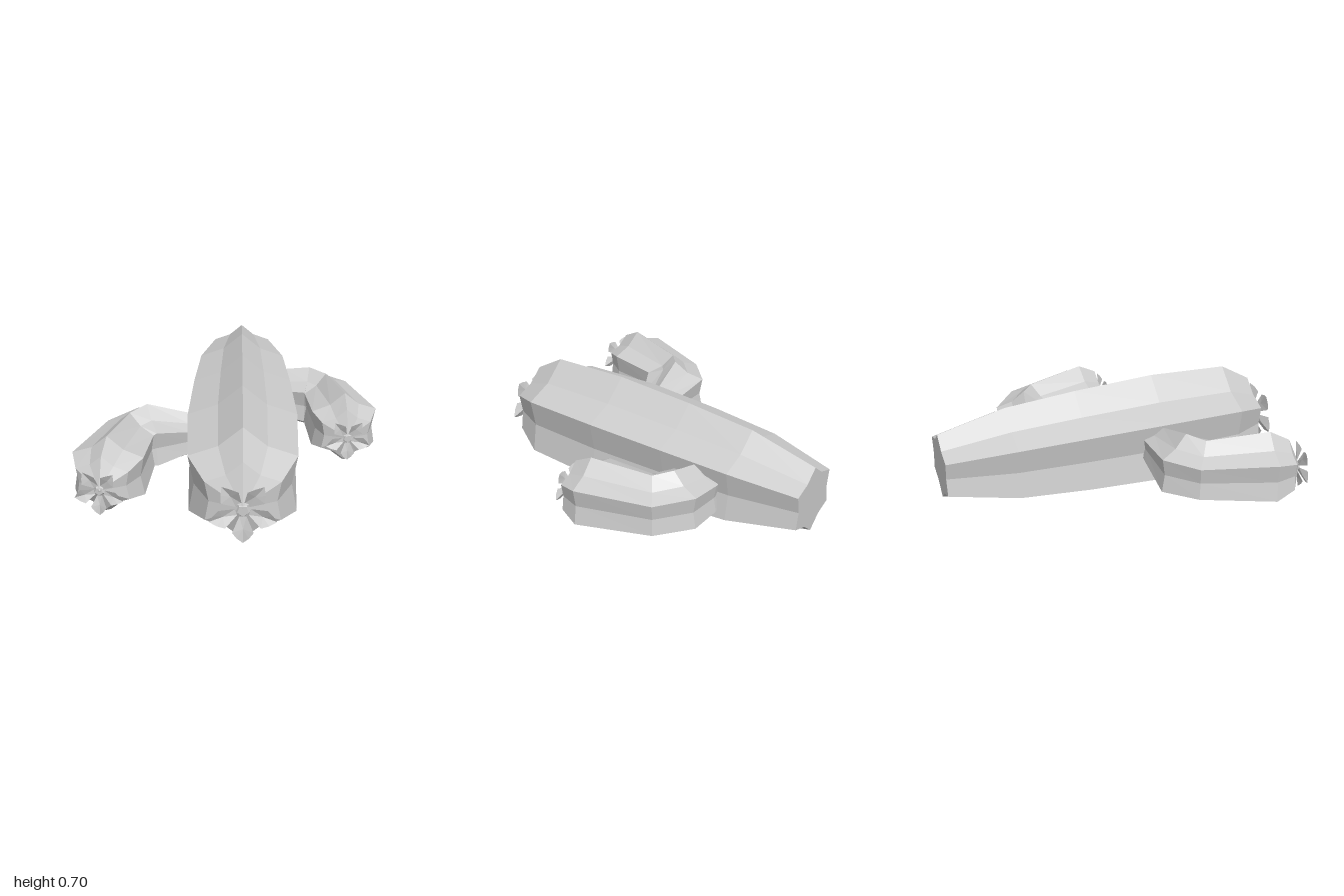
import * as THREE from 'three';

const material = new THREE.MeshStandardMaterial({ color: 0xcccccc, flatShading: true });
const petalMaterial = new THREE.MeshStandardMaterial({ color: 0xcccccc, flatShading: true, side: THREE.DoubleSide });

function facetedGeometry(points, index) {
  const indexed = new THREE.BufferGeometry();
  indexed.setAttribute('position', new THREE.Float32BufferAttribute(points, 3));
  indexed.setIndex(index);
  const geometry = indexed.toNonIndexed();
  geometry.computeVertexNormals();
  return geometry;
}

// Six-ribbed stem through sections [x, z, radius, heading in degrees from +z towards +x]
function ribbedStem(name, y, sections, tip) {
  const sides = 12, valley = 0.775;
  const points = [], index = [];
  for (const [x, z, radius, heading] of sections) {
    const h = THREE.MathUtils.degToRad(heading);
    for (let j = 0; j < sides; j++) {
      const a = (j / sides) * Math.PI * 2;
      const r = radius * (j % 2 ? 1 : valley);
      const across = Math.cos(a) * r;
      points.push(x + Math.cos(h) * across, y + Math.sin(a) * r, z - Math.sin(h) * across);
    }
  }
  const last = (sections.length - 1) * sides;
  const tipIndex = points.length / 3, baseIndex = tipIndex + 1;
  points.push(tip[0], y, tip[1], sections[0][0], y, sections[0][1]);
  for (let j = 0; j < sides; j++) {
    const k = (j + 1) % sides;
    for (let row = 0; row < last; row += sides) {
      const a = row + j, b = row + k, c = b + sides, d = a + sides;
      index.push(a, b, c, a, c, d);
    }
    index.push(last + j, last + k, tipIndex, k, j, baseIndex);
  }
  const mesh = new THREE.Mesh(facetedGeometry(points, index), material);
  mesh.name = name;
  return mesh;
}

// One folded, pointed petal lying along +y and facing +z
function petalGeometry() {
  const points = [
    -0.1, 0.2, 0.0, 0.1, 0.2, 0.0, // base
    -0.3, 0.62, 0.2, 0, 0.58, 0.06, 0.3, 0.62, 0.2, // broad middle with a crease
    -0.17, 0.82, 0.18, 0.17, 0.82, 0.18, 0, 1, 0.12, // pointed end
  ];
  return facetedGeometry(points, [0, 1, 3, 0, 3, 2, 1, 4, 3, 2, 3, 5, 3, 4, 6, 3, 7, 5, 3, 6, 7]);
}

function flower(name, position, radius, heading) {
  const group = new THREE.Group();
  group.name = name;
  const geometry = petalGeometry();
  for (let i = 0; i < 5; i++) {
    const petal = new THREE.Mesh(geometry, petalMaterial);
    petal.name = 'petal';
    petal.rotation.z = Math.PI + (i * Math.PI * 2) / 5;
    group.add(petal);
  }
  const heart = new THREE.Mesh(new THREE.CylinderGeometry(0.17, 0.25, 0.12, 5), material);
  heart.name = 'flowerCentre';
  heart.rotation.x = Math.PI / 2;
  group.add(heart);
  group.scale.setScalar(radius);
  group.position.set(...position);
  group.rotation.y = THREE.MathUtils.degToRad(heading);
  return group;
}

export function createModel() {
  const model = new THREE.Group();
  model.name = 'cactus';

  // Main trunk lying along z, cut flat at the back
  const cx = 0.055;
  const trunkSections = [[-1, 0.2], [-0.61, 0.295], [-0.2, 0.328], [0.27, 0.35], [0.73, 0.33], [0.905, 0.225]]
    .map(([z, r]) => [cx, z, r, 0]);
  model.add(ribbedStem('trunk', 0.353, trunkSections, [cx, 0.975]));
  model.add(flower('trunkFlower', [cx, 0.335, 0.963], 0.182, 0));

  // Arms grow sideways out of the trunk and bend forward
  model.add(ribbedStem('leftArm', 0.33, [
    [0.22, -0.415, 0.15, 90],
    [0.32, -0.415, 0.167, 90],
    [0.465, -0.385, 0.192, 78],
    [0.56, -0.31, 0.183, 35],
    [0.643, 0.03, 0.214, 6],
    [0.648, 0.135, 0.16, 3],
  ], [0.655, 0.178]));
  model.add(flower('leftArmFlower', [0.655, 0.325, 0.17], 0.13, 3));

  model.add(ribbedStem('rightArm', 0.385, [
    [-0.14, 0.21, 0.1, -90],
    [-0.24, 0.225, 0.128, -88],
    [-0.472, 0.26, 0.2, -69],
    [-0.56, 0.34, 0.185, -34],
    [-0.647, 0.68, 0.22, -9],
    [-0.667, 0.79, 0.16, -8],
  ], [-0.677, 0.86]));
  model.add(flower('rightArmFlower', [-0.678, 0.377, 0.848], 0.135, -9));

  return model;
}
